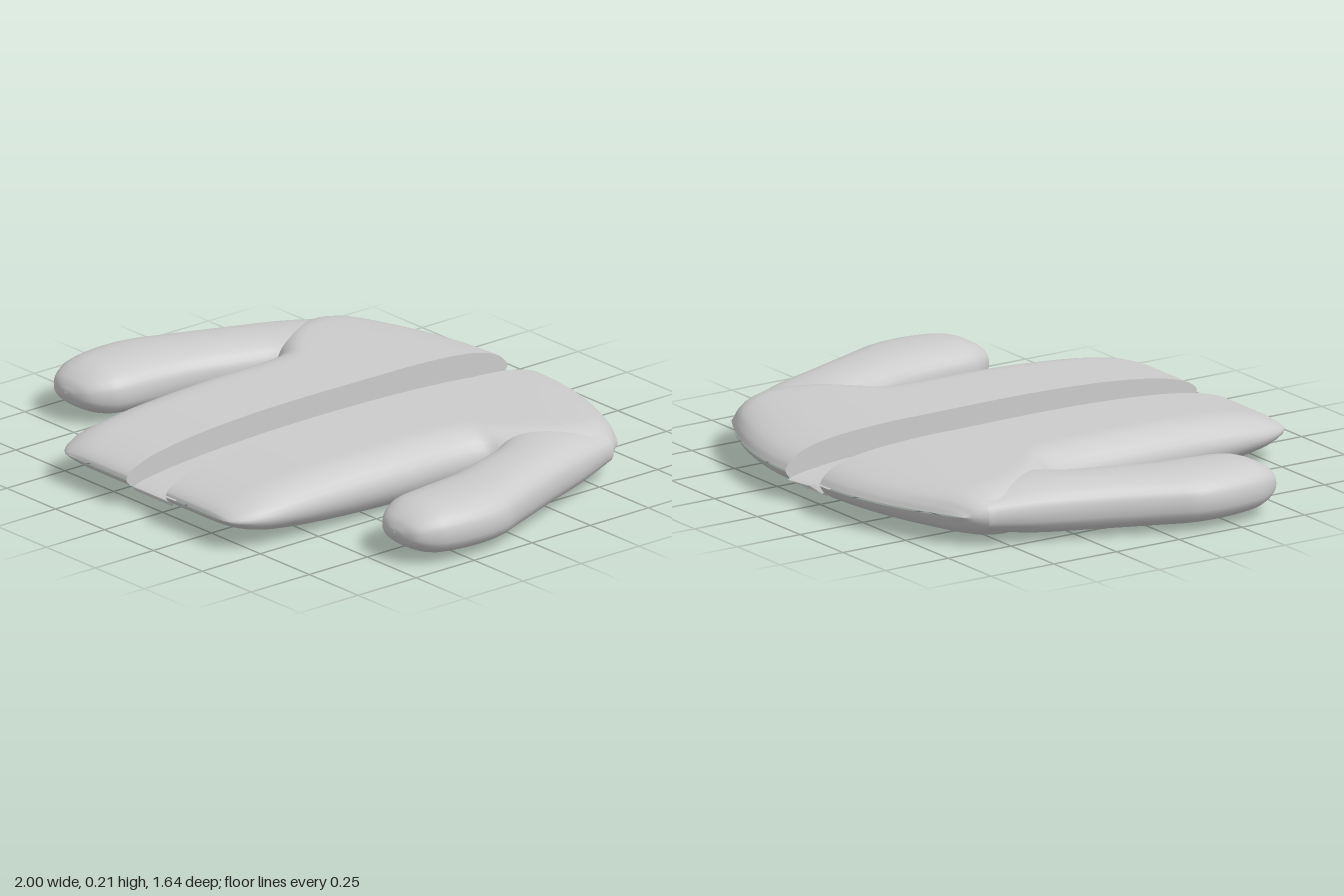
import * as THREE from 'three';

const MID = 0.108; // mid-height of the padded garment
const GAP = 0.1;   // half width of the front opening

const v3 = (x, y, z) => new THREE.Vector3(x, y, z);

// Smooth surface through a list of equally long rings of points
function loft(rings, closed = false) {
  const n = rings[0].length;
  const positions = rings.flatMap(ring => ring.flatMap(p => [p.x, p.y, p.z]));
  const index = [];
  for (let j = 0; j < rings.length - 1; j++) {
    for (let i = 0; i < (closed ? n : n - 1); i++) {
      const k = (i + 1) % n;
      const a = j * n + i, b = a + n, c = j * n + k, d = c + n;
      index.push(a, b, c, c, b, d);
    }
  }
  const geometry = new THREE.BufferGeometry();
  geometry.setAttribute('position', new THREE.Float32BufferAttribute(positions, 3));
  geometry.setIndex(index);
  geometry.computeVertexNormals();
  return geometry;
}

// Copy on the other side of x = 0, with the faces turned back outwards
function mirrored(geometry) {
  const copy = geometry.clone().scale(-1, 1, 1);
  copy.setIndex(Array.from(copy.index.array).reverse());
  copy.computeVertexNormals();
  return copy;
}

// Evenly spaced samples of a smooth curve through triples
function samples(triples, count) {
  const curve = new THREE.CatmullRomCurve3(triples.map(t => v3(...t)), false, 'centripetal');
  return Array.from({ length: count + 1 }, (_, i) => curve.getPoint(i / count));
}

// Rows of the body from collar to hem: z, side x, half thickness
const bodyRows = samples([
  [-0.82, 0.68, 0.003], [-0.805, 0.69, 0.025], [-0.77, 0.71, 0.05], [-0.7, 0.735, 0.073],
  [-0.6, 0.75, 0.088], [-0.4, 0.7, 0.099], [-0.27, 0.61, 0.1], [-0.19, 0.545, 0.101],
  [-0.08, 0.525, 0.102], [0.15, 0.52, 0.102], [0.4, 0.51, 0.094], [0.6, 0.5, 0.077],
  [0.72, 0.485, 0.056], [0.79, 0.45, 0.032], [0.815, 0.42, 0.014], [0.82, 0.4, 0.003],
], 60);

// One body row: flat top, rounded side, flat underside
function bodyRing({ x: z, y: side, z: half }) {
  const width = side - GAP;
  const round = 0.13 / width;
  const slope = 0.18 * THREE.MathUtils.clamp((-0.2 - z) / 0.6, 0, 1);
  const point = (u, g) => v3(GAP + u * width, MID + g * half, z + slope * u * u);
  const ring = [];
  for (let i = 0; i < 10; i++) ring.push(point((1 - round) * i / 10, 1));
  for (let i = 0; i <= 14; i++) {
    const a = Math.PI * (0.5 - i / 14);
    ring.push(point(1 - round + round * Math.cos(a), Math.sin(a)));
  }
  for (let i = 9; i >= 0; i--) ring.push(point((1 - round) * i / 10, -1));
  return ring;
}

// Sleeve edges from shoulder to cuff: x, z, half thickness
const outerEdge = [
  [0.735, -0.575, 0.07], [0.8, -0.4, 0.091], [0.87, -0.2, 0.092], [0.95, 0, 0.092],
  [0.99, 0.1, 0.092], [1, 0.21, 0.092], [0.987, 0.33, 0.086], [0.965, 0.39, 0.071],
  [0.93, 0.435, 0.045], [0.88, 0.455, 0.018], [0.845, 0.46, 0.002],
];
const innerEdge = [
  [0.42, -0.5], [0.46, -0.34], [0.56, -0.21], [0.62, -0.04],
  [0.655, 0.08], [0.672, 0.21], [0.685, 0.33], [0.71, 0.39],
  [0.75, 0.435], [0.8, 0.455], [0.835, 0.46],
].map(p => [...p, 0]);

function sleeveGeometry() {
  // Uniform knots keep the two edges in step
  const curve = list => new THREE.CatmullRomCurve3(list.map(t => v3(...t)), false, 'catmullrom');
  const outer = curve(outerEdge), inner = curve(innerEdge);
  const rings = [];
  for (let j = 0; j <= 50; j++) {
    const o = outer.getPoint(j / 50), n = inner.getPoint(j / 50);
    const ring = [];
    for (let i = 0; i < 32; i++) {
      const a = Math.PI - (i / 32) * Math.PI * 2;
      const c = Math.cos(a), s = Math.sin(a);
      // Slightly squared oval section
      const across = 0.5 + 0.5 * Math.sign(c) * Math.abs(c) ** 0.85;
      const up = Math.sign(s) * Math.abs(s) ** 0.8;
      ring.push(v3(n.x + (o.x - n.x) * across, MID + up * o.z, n.y + (o.y - n.y) * across));
    }
    rings.push(ring);
  }
  return loft(rings, true);
}

// Thin padded strip behind the opening; side is 1 for the top, -1 for the underside
function stripGeometry(side) {
  const rings = [];
  for (let j = 0; j <= 32; j++) {
    const t = -Math.cos(Math.PI * j / 32);
    const bulge = (1 - t * t) ** 0.6;
    const y = side > 0 ? 0.075 + 0.055 * bulge : 0.065 - 0.035 * bulge;
    const ring = [];
    for (let i = -4; i <= 4; i++) {
      const x = side * GAP * i / 4;
      // The back end dips into a shallow neckline
      ring.push(v3(x, y, 0.79 * t - (t < 0 ? 0.02 * -t * Math.abs(i / 4) : 0)));
    }
    rings.push(ring);
  }
  return loft(rings);
}

export function createModel() {
  const group = new THREE.Group();
  const material = new THREE.MeshStandardMaterial({ color: 0xcccccc });
  const add = (geometry, name) => {
    const mesh = new THREE.Mesh(geometry, material);
    mesh.name = name;
    group.add(mesh);
  };

  const body = loft(bodyRows.map(bodyRing));
  const edge = loft(bodyRows.map(r => [v3(GAP, MID - r.z, r.x), v3(GAP, MID + r.z, r.x)]));
  const sleeve = sleeveGeometry();
  for (const [geometry, name] of [[body, 'Body'], [edge, 'OpeningEdge'], [sleeve, 'Sleeve']]) {
    add(geometry, 'left' + name);
    add(mirrored(geometry), 'right' + name);
  }

  // Strip joining the two halves
  add(stripGeometry(1), 'centreStripTop');
  add(stripGeometry(-1), 'centreStripUnderside');
  // Narrow closing face at each end of the strip
  for (const s of [1, -1]) {
    const end = new THREE.PlaneGeometry(GAP * 2, 0.01);
    if (s < 0) end.rotateY(Math.PI);
    end.translate(0, 0.07, 0.79 * s);
    add(end, s > 0 ? 'stripFrontEnd' : 'stripBackEnd');
  }
  return group;
}
